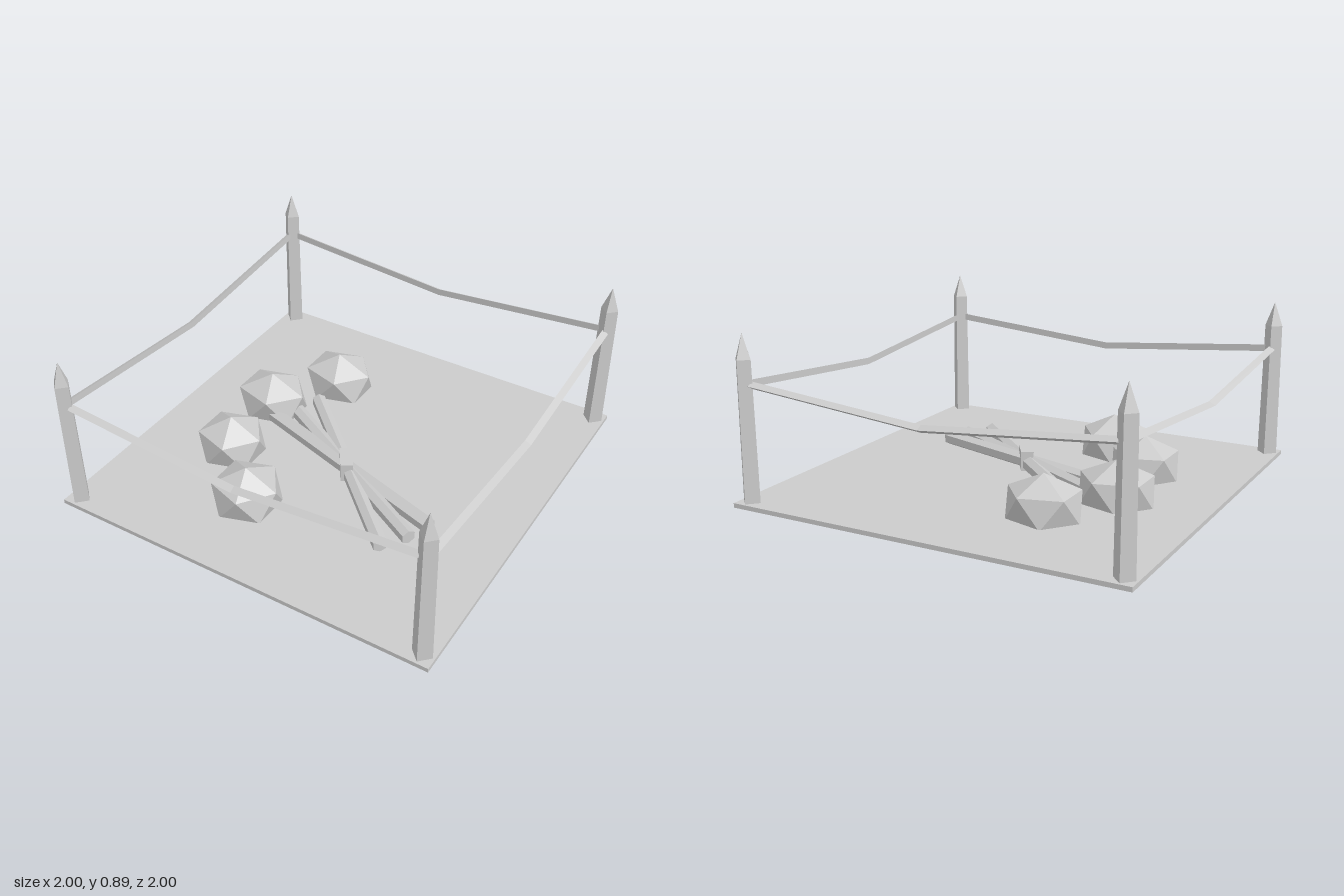
import * as THREE from 'three';

const material = new THREE.MeshStandardMaterial({ color: 0xcccccc, flatShading: true });

function addMesh(parent, name, geometry, x = 0, y = 0, z = 0) {
  const mesh = new THREE.Mesh(geometry, material);
  mesh.name = name;
  mesh.position.set(x, y, z);
  parent.add(mesh);
  return mesh;
}

// Three-sided rope lying along x, dipping to the middle
function ropeGeometry() {
  const geometry = new THREE.CylinderGeometry(0.02, 0.02, 1.81, 3, 2).rotateZ(Math.PI / 2);
  const p = geometry.attributes.position;
  for (let i = 0; i < p.count; i++) {
    p.setY(i, p.getY(i) + 0.57 + 0.08 * Math.abs(p.getX(i)) / 0.905);
  }
  return geometry;
}

export function createModel() {
  const model = new THREE.Group();
  model.name = 'fencedCampPlot';

  // Ground slab
  addMesh(model, 'groundSlab', new THREE.BoxGeometry(2, 0.022, 2), 0, 0.08, 0);

  // Four-sided pointed corner posts
  const shaft = new THREE.CylinderGeometry(0.044, 0.05, 0.69, 4, 1);
  const tip = new THREE.CylinderGeometry(0, 0.044, 0.12, 4, 1);
  for (const x of [-0.94, 0.94]) {
    for (const z of [-0.94, 0.94]) {
      const post = new THREE.Group();
      post.name = 'cornerPost';
      post.position.set(x, 0, z);
      addMesh(post, 'postShaft', shaft, 0, 0.425, 0);
      addMesh(post, 'postTip', tip, 0, 0.83, 0);
      model.add(post);
    }
  }

  // One sagging rope on each side
  const rope = ropeGeometry();
  for (let i = 0; i < 4; i++) {
    const side = new THREE.Group();
    side.name = 'ropeSide';
    side.rotation.y = i * Math.PI / 2;
    addMesh(side, 'rope', rope, 0, 0, 0.942);
    model.add(side);
  }

  // Crossed hexagonal sticks, ridge upward, held by a tie
  const bundle = new THREE.Group();
  bundle.name = 'stickBundle';
  bundle.position.set(0.065, 0.126, 0.113);
  const stick = new THREE.CylinderGeometry(0.038, 0.038, 1.15, 6)
    .rotateY(Math.PI / 6)
    .rotateZ(Math.PI / 2);
  for (const angle of [-0.29, -0.505, -0.755]) {
    addMesh(bundle, 'stick', stick).rotation.y = angle;
  }
  addMesh(bundle, 'bundleTie', new THREE.BoxGeometry(0.135, 0.105, 0.063), -0.005, 0.012, 0)
    .rotation.y = -0.985;
  model.add(bundle);

  // Faceted rocks, one corner straight up, sunk through the slab
  const rock = new THREE.IcosahedronGeometry(1, 0)
    .rotateX(-Math.atan((1 + Math.sqrt(5)) / 2))
    .rotateY(Math.PI / 2);
  const rocks = [ // x, z, half width, half depth
    [-0.348, -0.485, 0.203, 0.178],
    [-0.556, -0.152, 0.207, 0.178],
    [-0.525, 0.262, 0.19, 0.182],
    [-0.235, 0.543, 0.19, 0.19],
  ];
  for (const [x, z, width, depth] of rocks) {
    addMesh(model, 'rock', rock, x, 0.15, z).scale.set(width, 0.15, depth);
  }

  return model;
}
